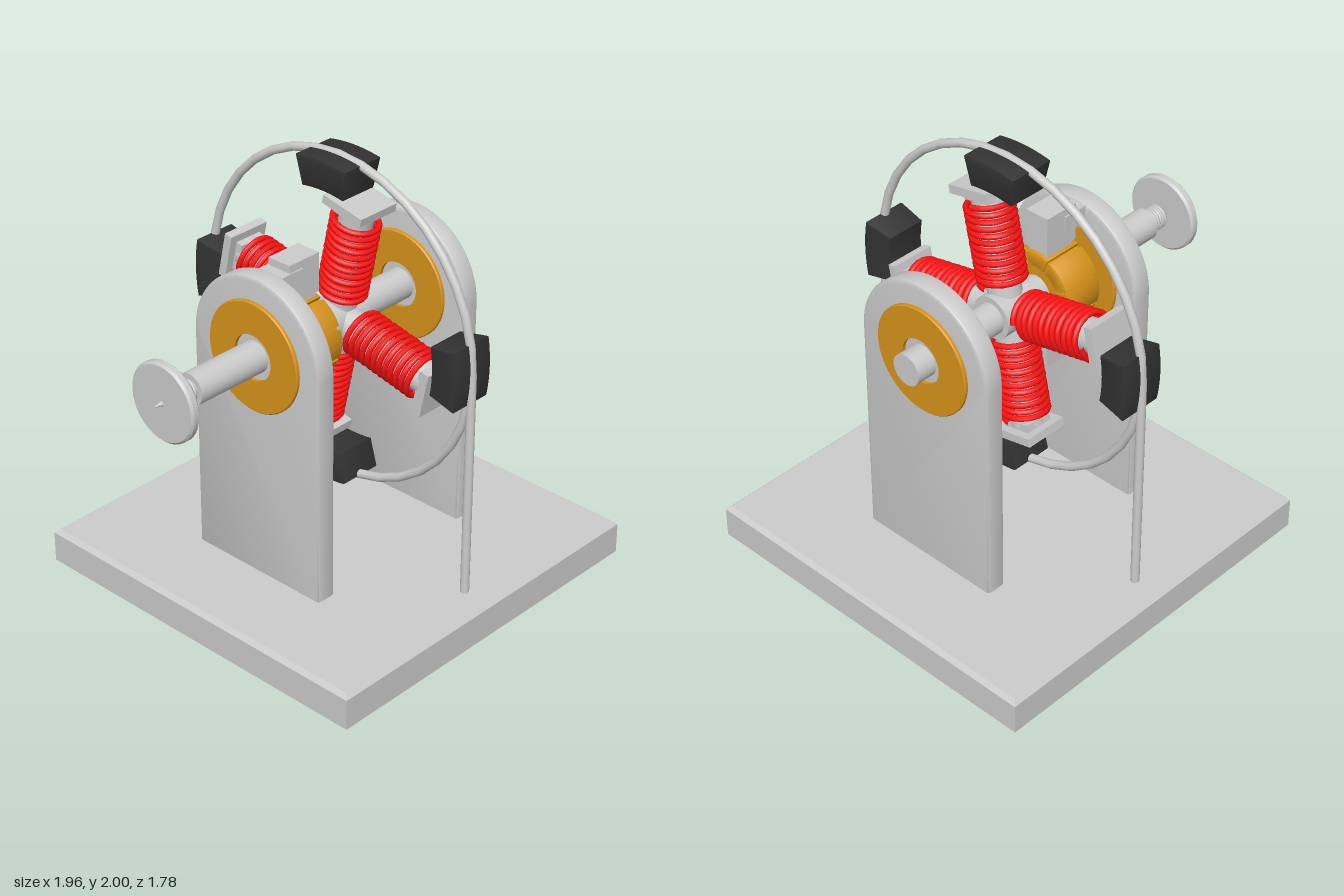
import * as THREE from 'three';
import { toCreasedNormals } from 'three/addons/utils/BufferGeometryUtils.js';

const AXIS_Y = 1.23; // shaft height
const MID_X = 0.09; // plane of the rotor and ring
const mat = (color) => new THREE.MeshStandardMaterial({ color });
const grey = mat(0xcccccc), gold = mat(0xd8941a), red = mat(0xff1212), black = mat(0x333333);

function add(parent, name, geometry, material, x = 0, y = 0, z = 0) {
  const mesh = new THREE.Mesh(geometry, material);
  mesh.name = name;
  mesh.position.set(x, y, z);
  parent.add(mesh);
  return mesh;
}

// Solid turned about the x axis from [radius, x] points
function turned(points, sides = 40) {
  const profile = points.map(([r, x]) => new THREE.Vector2(r, x));
  const g = new THREE.LatheGeometry(profile, sides);
  return toCreasedNormals(g.rotateZ(-Math.PI / 2), 0.5);
}
const rod = (r, x0, x1, sides = 32) => turned([[0, x0], [r, x0], [r, x1], [0, x1]], sides);

// Shape in the z/y plane extruded along x, with bevels kept inside the width
function slab(shape, width, bevel) {
  const g = new THREE.ExtrudeGeometry(shape, {
    depth: width - 2 * bevel, bevelEnabled: bevel > 0, bevelSize: bevel,
    bevelThickness: bevel, bevelOffset: -bevel, bevelSegments: 2, curveSegments: 32,
  });
  g.translate(0, 0, bevel - width / 2).rotateY(Math.PI / 2);
  return toCreasedNormals(g, 0.6);
}

// Ring sector centred on +y
function sector(inner, outer, half) {
  const s = new THREE.Shape();
  s.absarc(0, 0, outer, Math.PI / 2 - half, Math.PI / 2 + half, false);
  s.absarc(0, 0, inner, Math.PI / 2 + half, Math.PI / 2 - half, true);
  s.closePath();
  return s;
}

function helix(radius, y0, y1, turns, wire) {
  const points = [];
  const n = turns * 14;
  for (let i = 0; i <= n; i++) {
    const a = (i / 14) * Math.PI * 2;
    points.push(new THREE.Vector3(Math.cos(a) * radius, y0 + (y1 - y0) * i / n, Math.sin(a) * radius));
  }
  return new THREE.TubeGeometry(new THREE.CatmullRomCurve3(points), turns * 22, wire, 7);
}

export function createModel() {
  const model = new THREE.Group();
  model.name = 'electricMotorModel';

  // Base with chamfered top edge
  add(model, 'base', new THREE.BoxGeometry(1.78, 0.145, 1.78), grey, MID_X, 0.0725, 0);
  const chamfer = new THREE.CylinderGeometry(0.87 * Math.SQRT2, 0.89 * Math.SQRT2, 0.02, 4, 1)
    .rotateY(Math.PI / 4).toNonIndexed();
  chamfer.computeVertexNormals();
  add(model, 'baseChamfer', chamfer, grey, MID_X, 0.155, 0);

  // Arched side supports with bearing rings
  const arch = new THREE.Shape();
  arch.moveTo(-0.36, 0.14);
  arch.lineTo(0.36, 0.14);
  arch.lineTo(0.36, AXIS_Y);
  arch.absarc(0, AXIS_Y, 0.36, 0, Math.PI, false);
  arch.closePath();
  for (const x of [-0.357, 0.538]) {
    add(model, 'support', slab(arch, 0.096, 0.014), grey, x);
    const ring = [[0.105, -0.065], [0.25, -0.065], [0.255, -0.06], [0.255, 0.06],
      [0.25, 0.065], [0.105, 0.065], [0.105, -0.065]];
    add(model, 'bearing', turned(ring, 48), gold, x, AXIS_Y);
  }

  // Shaft, threaded neck and hand wheel
  add(model, 'shaft', rod(0.073, -0.78, 0.685), grey, 0, AXIS_Y);
  add(model, 'neck', rod(0.048, -0.87, -0.775), grey, 0, AXIS_Y);
  const thread = helix(0.048, -0.87, -0.785, 6, 0.008).rotateZ(-Math.PI / 2);
  add(model, 'neckThread', thread, grey, 0, AXIS_Y);
  add(model, 'wheelStem', rod(0.028, -0.9, -0.86), grey, 0, AXIS_Y);
  const wheel = [[0, -0.935], [0.17, -0.935], [0.18, -0.925], [0.18, -0.9], [0.17, -0.89], [0, -0.89]];
  add(model, 'handWheel', turned(wheel), grey, 0, AXIS_Y);
  add(model, 'wheelPin', turned([[0, -0.98], [0.012, -0.932], [0, -0.932]], 12), grey, 0, AXIS_Y);

  // Commutator: split gold segments on a core
  const commutator = new THREE.Group();
  commutator.name = 'commutator';
  commutator.position.set(-0.178, AXIS_Y, 0);
  model.add(commutator);
  add(commutator, 'commutatorCore', rod(0.175, -0.09, 0.09), gold);
  for (let i = 0; i < 8; i++) {
    const segment = add(commutator, 'commutatorSegment', slab(sector(0.12, 0.19, 0.35), 0.195, 0.006), gold);
    segment.rotation.x = (i * Math.PI) / 4;
  }

  // Brushes above and below the commutator, on small brackets
  for (const side of [1, -1]) {
    add(model, 'brushHolder', new THREE.BoxGeometry(0.175, 0.18, 0.12), grey, -0.173, AXIS_Y + side * 0.295, 0);
    add(model, 'brush', new THREE.BoxGeometry(0.15, 0.04, 0.1), grey, -0.173, AXIS_Y + side * 0.195, 0);
    add(model, 'brushBracket', new THREE.BoxGeometry(0.13, 0.08, 0.134), grey, -0.255, AXIS_Y + side * 0.31, 0);
  }

  // Rotor: hub and four wound poles
  const rotor = new THREE.Group();
  rotor.name = 'rotor';
  rotor.position.set(MID_X, AXIS_Y, 0);
  rotor.rotation.x = 0.21;
  model.add(rotor);
  add(rotor, 'hub', rod(0.1, -0.1, 0.1), grey);
  const winding = helix(0.1, 0.13, 0.515, 12, 0.013);
  for (let i = 0; i < 4; i++) {
    const pole = new THREE.Group();
    pole.name = 'pole';
    pole.rotation.x = (i * Math.PI) / 2;
    rotor.add(pole);
    add(pole, 'poleCore', new THREE.CylinderGeometry(0.075, 0.075, 0.48, 24), grey, 0, 0.31, 0);
    add(pole, 'poleNeck', new THREE.BoxGeometry(0.14, 0.04, 0.14), grey, 0, 0.545, 0);
    add(pole, 'poleShoe', new THREE.BoxGeometry(0.216, 0.04, 0.216), grey, 0, 0.58, 0);
    add(pole, 'winding', winding, red);
  }

  // Stator ring with two posts
  const ring = new THREE.TorusGeometry(0.75, 0.02, 12, 36).rotateY(Math.PI / 2);
  add(model, 'statorRing', ring, grey, MID_X, AXIS_Y, 0);
  for (const z of [-0.75, 0.75]) {
    add(model, 'ringPost', new THREE.CylinderGeometry(0.02, 0.02, 1.08, 16), grey, MID_X, 0.69, z);
  }

  // Four curved magnets, narrowing toward the rotor
  const block = slab(sector(0.615, 0.756, 0.185), 0.22, 0.008);
  const p = block.attributes.position;
  for (let i = 0; i < p.count; i++) {
    const r = Math.hypot(p.getY(i), p.getZ(i));
    p.setX(i, p.getX(i) * (1 - (0.756 - r) * 0.8));
  }
  const magnetShape = toCreasedNormals(block, 0.6);
  for (let i = 0; i < 4; i++) {
    const magnet = add(model, 'magnet', magnetShape, black, MID_X, AXIS_Y, 0);
    magnet.rotation.x = (i * Math.PI) / 2;
  }
  return model;
}
